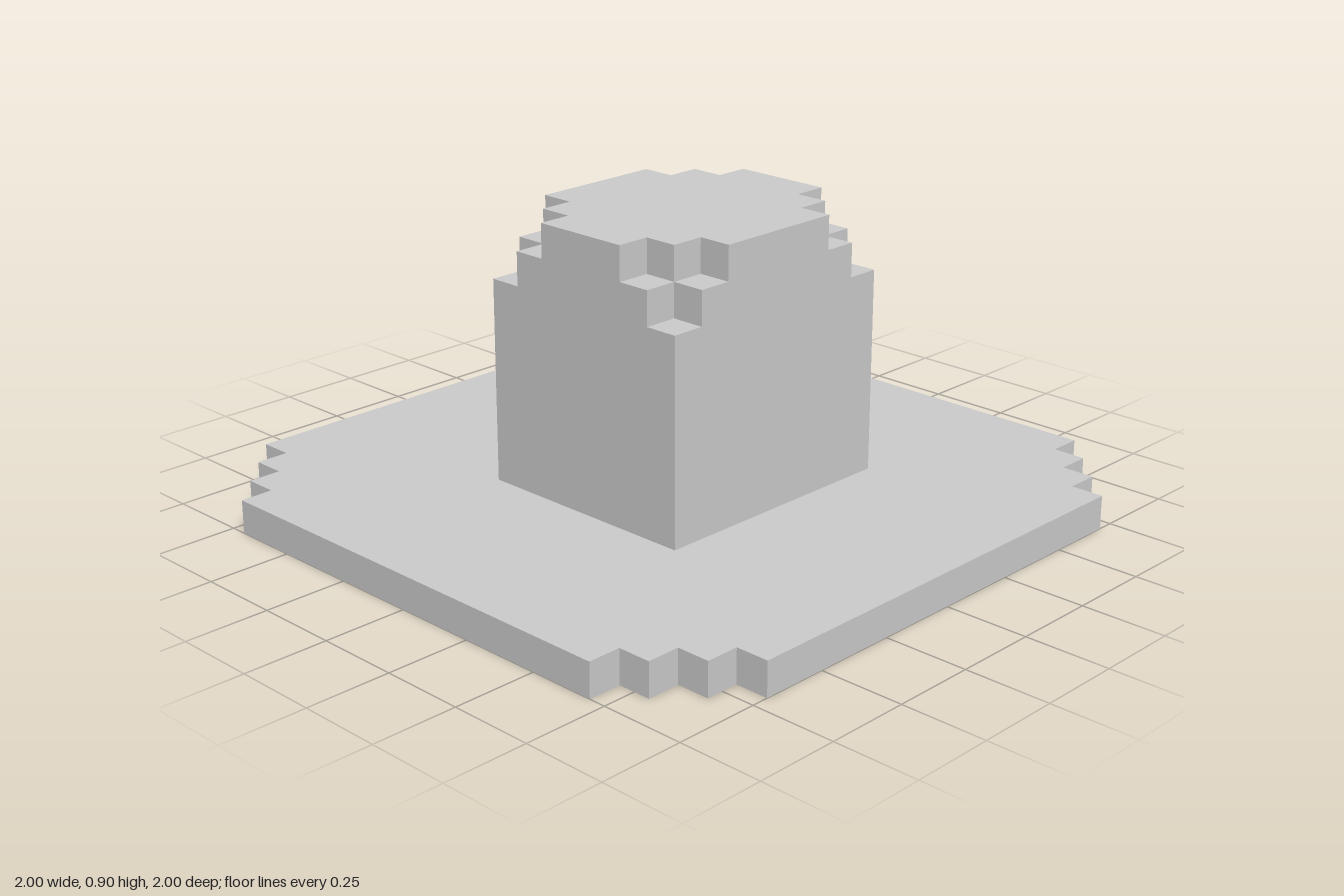
import * as THREE from 'three';

const STEP = 0.1; // size of one block

// Flat slab whose four corners are cut back in a staircase of n blocks
function steppedSlab(name, x0, x1, halfZ, y0, y1, n) {
  const cx = (x0 + x1) / 2, hx = (x1 - x0) / 2;
  const corner = [];
  for (let i = 0; i <= n; i++) {
    corner.push([hx - i * STEP, halfZ - (n - i) * STEP]);
    if (i < n) corner.push([hx - (i + 1) * STEP, halfZ - (n - i) * STEP]);
  }
  // Mirror the corner into the four quadrants, counter-clockwise
  const points = [];
  for (const [sx, sz] of [[1, 1], [-1, 1], [-1, -1], [1, -1]]) {
    const run = sx * sz > 0 ? corner : [...corner].reverse();
    for (const [x, z] of run) points.push(new THREE.Vector2(cx + sx * x, sz * z));
  }
  const geometry = new THREE.ExtrudeGeometry(new THREE.Shape(points), {
    depth: y1 - y0, bevelEnabled: false,
  });
  geometry.rotateX(-Math.PI / 2).translate(0, y0, 0);
  const material = new THREE.MeshStandardMaterial({ color: 0xcccccc, flatShading: true });
  const mesh = new THREE.Mesh(geometry, material);
  mesh.name = name;
  return mesh;
}

export function createModel() {
  const model = new THREE.Group();
  model.name = 'hat';

  // Wide brim with three-block stepped corners
  model.add(steppedSlab('brim', -1, 1, 1, 0, 0.1, 3));

  // Crown, slightly off centre, its upper corners stepping inwards
  const crown = new THREE.Group();
  crown.name = 'crown';
  crown.add(
    steppedSlab('crownBody', -0.3, 0.4, 0.4, 0.1, 0.7, 0),
    steppedSlab('crownShoulder', -0.3, 0.4, 0.4, 0.7, 0.8, 1),
    steppedSlab('crownTop', -0.3, 0.4, 0.4, 0.8, 0.9, 2),
  );
  model.add(crown);
  return model;
}
